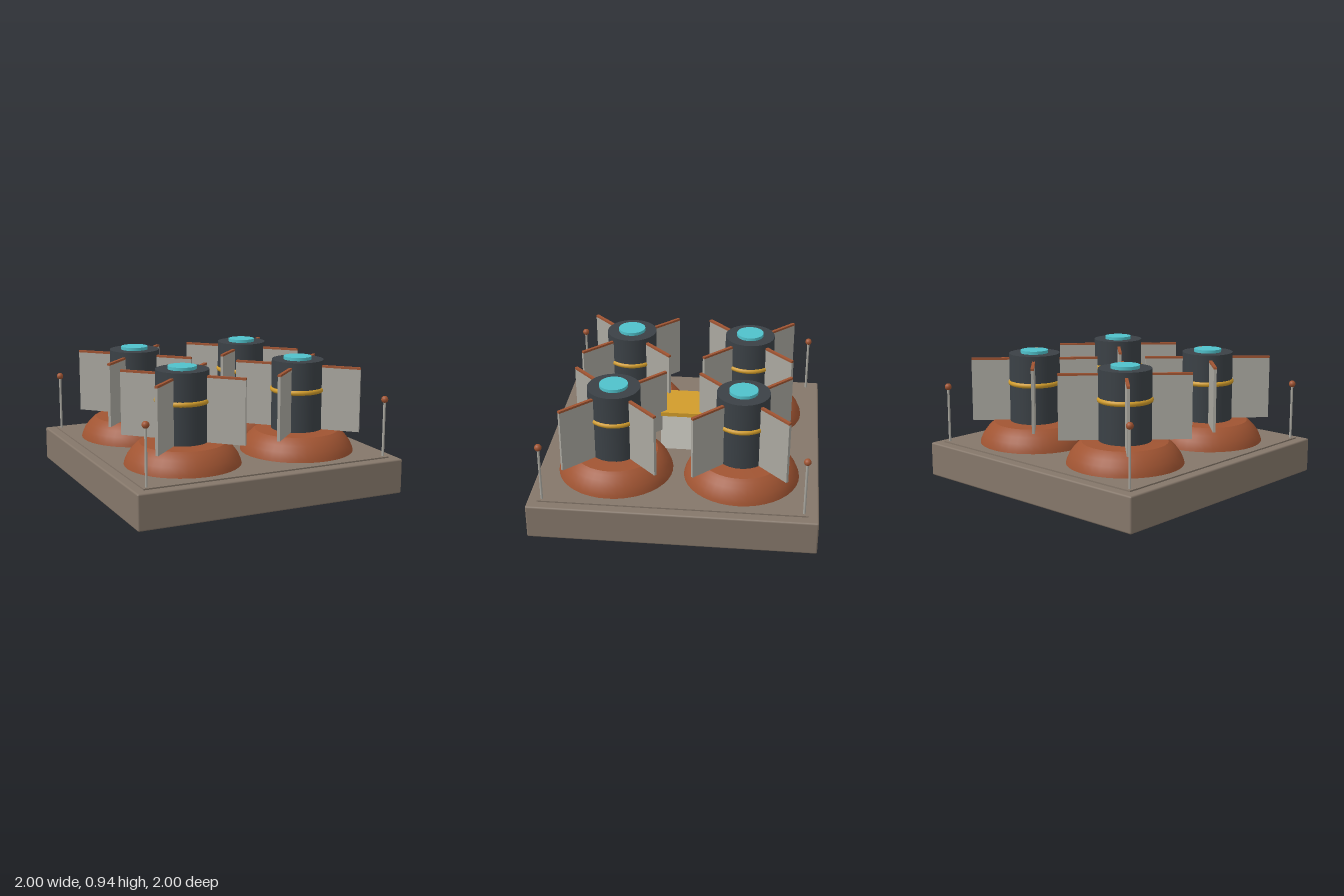
import * as THREE from 'three';
import { RoundedBoxGeometry } from 'three/addons/geometries/RoundedBoxGeometry.js';
import { toCreasedNormals } from 'three/addons/utils/BufferGeometryUtils.js';

const material = (name, color) => {
  const m = new THREE.MeshStandardMaterial({ color });
  m.name = name;
  return m;
};

export function createModel() {
  const stone = material('taupe stone', 0x85776a);
  const rust = material('rust', 0xa05432);
  const dark = material('dark metal', 0x3b4146);
  const gold = material('gold', 0xd19c2b);
  const cyan = material('cyan glow', 0x50c1cb);
  const steel = material('grey steel', 0xaaa8a0);
  const pale = material('pale grey', 0xd2d0c8);

  const model = new THREE.Group();
  model.name = 'turretPlatform';

  const add = (parent, name, geometry, mat, x = 0, y = 0, z = 0) => {
    const mesh = new THREE.Mesh(geometry, mat);
    mesh.name = name;
    mesh.position.set(x, y, z);
    parent.add(mesh);
    return mesh;
  };

  // Platform with a slightly raised deck
  add(model, 'base', new RoundedBoxGeometry(2, 0.25, 2, 2, 0.012), stone, 0, 0.125, 0);
  add(model, 'deck', new THREE.BoxGeometry(1.86, 0.012, 1.86), stone, 0, 0.254, 0);

  // Central block with a gold lid
  add(model, 'centreBlock', new THREE.BoxGeometry(0.325, 0.29, 0.325), pale, 0, 0.395, 0);
  add(model, 'centreLid', new THREE.BoxGeometry(0.345, 0.03, 0.345), gold, 0, 0.555, 0);

  // Shared tower geometries
  const moundProfile = [
    [0.412, 0.25], [0.405, 0.28], [0.385, 0.325], [0.355, 0.365],
    [0.325, 0.395], [0.3, 0.412], [0.17, 0.42],
  ].map(([r, y]) => new THREE.Vector2(r, y));
  const mound = toCreasedNormals(new THREE.LatheGeometry(moundProfile, 40), 0.4);
  const column = new THREE.CylinderGeometry(0.185, 0.185, 0.52, 32);
  const band = new THREE.TorusGeometry(0.176, 0.02, 10, 40).rotateX(Math.PI / 2);
  const lens = new THREE.CylinderGeometry(0.1, 0.1, 0.025, 32);
  const fin = new THREE.BoxGeometry(0.305, 0.45, 0.02);
  const finTrim = new THREE.BoxGeometry(0.305, 0.015, 0.022);
  const post = new THREE.CylinderGeometry(0.009, 0.009, 0.41, 12);
  const knob = new THREE.SphereGeometry(0.025, 16, 12);

  for (const sx of [-1, 1]) {
    for (const sz of [-1, 1]) {
      // Tower on its mound
      const tower = new THREE.Group();
      tower.name = 'tower';
      tower.position.set(sx * 0.45, 0, sz * 0.45);
      model.add(tower);
      add(tower, 'mound', mound, rust);
      add(tower, 'column', column, dark, 0, 0.66, 0);
      add(tower, 'band', band, gold, 0, 0.705, 0);
      add(tower, 'lens', lens, cyan, 0, 0.93, 0);

      // Four diagonal fins
      for (let i = 0; i < 4; i++) {
        const finGroup = new THREE.Group();
        finGroup.name = 'fin';
        finGroup.rotation.y = Math.PI / 4 + i * Math.PI / 2;
        add(finGroup, 'finPlate', fin, steel, 0.3075, 0.645, 0);
        add(finGroup, 'finTrim', finTrim, rust, 0.3075, 0.8775, 0);
        tower.add(finGroup);
      }

      // Corner antenna
      add(model, 'cornerPost', post, steel, sx * 0.9, 0.46, sz * 0.9);
      add(model, 'cornerKnob', knob, rust, sx * 0.9, 0.67, sz * 0.9);
    }
  }
  return model;
}
